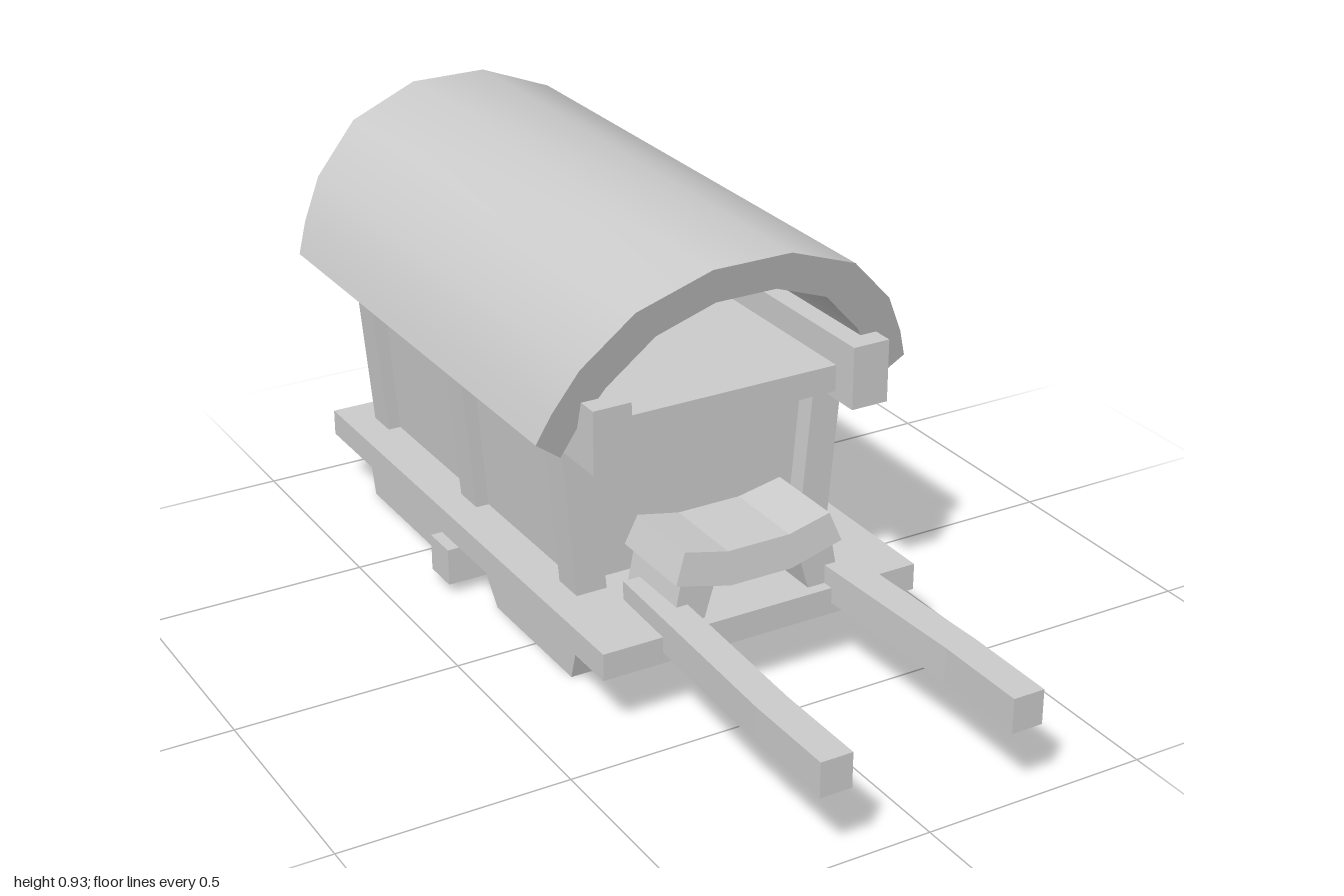
import * as THREE from 'three';
import { toCreasedNormals } from 'three/addons/utils/BufferGeometryUtils.js';

const MID = -0.327; // z of the middle of the cabin

export function createModel() {
  const model = new THREE.Group();
  const material = new THREE.MeshStandardMaterial({ color: 0xcccccc });

  const add = (name, geometry) => {
    const mesh = new THREE.Mesh(geometry, material);
    mesh.name = name;
    model.add(mesh);
    return mesh;
  };

  // Box given by its limits on each axis
  const box = (name, x0, x1, y0, y1, z0, z1) =>
    add(name, new THREE.BoxGeometry(x1 - x0, y1 - y0, z1 - z0))
      .position.set((x0 + x1) / 2, (y0 + y1) / 2, (z0 + z1) / 2);

  const extrude = (points, depth) =>
    new THREE.ExtrudeGeometry(
      new THREE.Shape(points.map(([x, y]) => new THREE.Vector2(x, y))),
      { depth, bevelEnabled: false });

  // Closed outline from its +x half, listed from the top centre to the bottom centre
  const mirrored = (half) => [...half, ...half.map(([x, y]) => [-x, y]).reverse()];

  // Front outline extruded along z; its half depth may depend on height
  const prism = (points, zMid, halfDepth) => {
    const g = extrude(points, 2).translate(0, 0, -1);
    const p = g.attributes.position;
    for (let i = 0; i < p.count; i++) p.setZ(i, zMid + p.getZ(i) * halfDepth(p.getY(i)));
    g.computeVertexNormals();
    return g;
  };

  // Deck, axle and cross bars
  box('deck', -0.373, 0.373, 0.135, 0.195, -0.905, 0.405);
  box('axle', -0.38, 0.38, 0.025, 0.11, -0.37, -0.285);
  for (const z of [0.09, -0.745]) box('crossBar', -0.24, 0.24, 0.025, 0.11, z - 0.043, z + 0.043);

  // Cabin walls, leaning outwards
  add('cabin', prism(mirrored([[0.306, 0.575], [0.275, 0.19]]), MID, () => 0.45));
  box('ceiling', -0.27, 0.27, 0.563, 0.622, MID - 0.587, MID + 0.587);

  // Seat with slanted legs
  add('seat', prism(
    mirrored([[0.073, 0.335], [0.172, 0.357], [0.197, 0.292], [0.073, 0.262]]),
    0.285, (y) => 0.105 - 0.15 * (y - 0.29)));

  const runner = [
    [0.2, 0.135], [0.16, 0], [-0.18, 0], [-0.235, 0.065],
    [-0.415, 0.065], [-0.47, 0], [-0.815, 0], [-0.855, 0.135],
  ];

  for (const s of [1, -1]) {
    const side = (points) => points.map(([x, y]) => [s * x, y]);

    // Runner with a notch for the axle
    add('runner', extrude(runner, 0.09).rotateY(-Math.PI / 2).translate(s * 0.27 + 0.045, 0, 0));

    // Wall posts
    for (const z of [0.133, MID, -0.783])
      add('post', prism(side([[0.235, 0.195], [0.305, 0.195], [0.336, 0.55], [0.266, 0.55]]), z, () => 0.0375));

    // Roof rail
    const x = s * 0.302;
    box('roofRail', x - 0.043, x + 0.043, 0.545, 0.684, MID - 0.65, MID + 0.65);

    // Pull shaft, bent slightly outwards
    const shaft = [[0.158, 0.23], [0.182, 0.78], [0.182, 1], [0.253, 1], [0.253, 0.78], [0.229, 0.23]];
    add('shaft', extrude(side(shaft), 0.077).rotateX(Math.PI / 2).translate(0, 0.237, 0));

    add('seatLeg', prism(
      side([[0.126, 0.19], [0.2, 0.19], [0.178, 0.3], [0.1, 0.275]]), 0.285, () => 0.094));
  }

  // Arched roof with ends that overhang more towards the ridge
  const roofHalf = [
    [0.09, 0.933], [0.252, 0.872], [0.359, 0.764], [0.408, 0.672], [0.434, 0.604],
    [0.373, 0.557], [0.345, 0.622], [0.293, 0.706], [0.197, 0.804], [0.07, 0.853],
  ];
  add('roof', toCreasedNormals(
    prism(mirrored(roofHalf), MID, (y) => 0.672 - 0.28 * (0.933 - y)), 0.65));

  return model;
}
